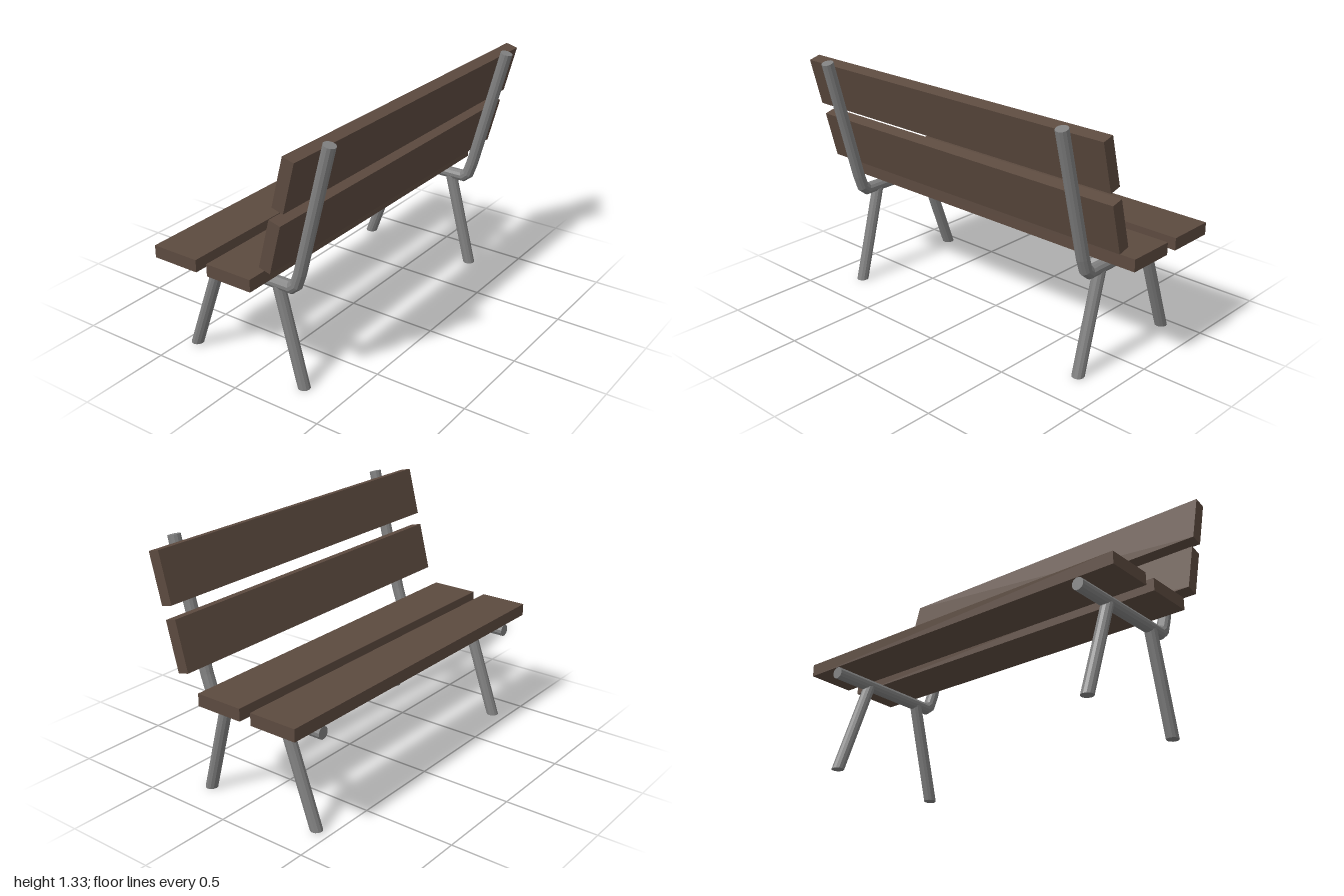
import * as THREE from 'three';

const RADIUS = 0.033, SIDES = 12;

// Round tube along a polyline in the xy plane, mitred at each bend and capped
function bentTube(path) {
  const pts = path.map(([x, y]) => new THREE.Vector2(x, y));
  const last = pts.length - 1;
  const pos = [], index = [];
  pts.forEach((p, i) => {
    const before = p.clone().sub(pts[Math.max(i - 1, 0)]).normalize();
    const after = pts[Math.min(i + 1, last)].clone().sub(p).normalize();
    const dir = before.clone().add(after).normalize();
    const stretch = RADIUS / dir.dot(i < last ? after : before);
    for (let j = 0; j < SIDES; j++) {
      const a = (j + 0.5) / SIDES * Math.PI * 2;
      const n = Math.cos(a) * stretch;
      pos.push(p.x - dir.y * n, p.y + dir.x * n, Math.sin(a) * RADIUS);
    }
  });
  const startCap = pos.length / 3;
  pos.push(pts[0].x, pts[0].y, 0, pts[last].x, pts[last].y, 0);
  for (let j = 0; j < SIDES; j++) {
    const k = (j + 1) % SIDES;
    for (let i = 0; i < last; i++) {
      const a = i * SIDES + j, b = i * SIDES + k;
      index.push(a, b, a + SIDES, b, b + SIDES, a + SIDES);
    }
    index.push(startCap, k, j, startCap + 1, last * SIDES + j, last * SIDES + k);
  }
  const geo = new THREE.BufferGeometry();
  geo.setAttribute('position', new THREE.Float32BufferAttribute(pos, 3));
  geo.setIndex(index);
  const flat = geo.toNonIndexed();
  flat.computeVertexNormals();
  return flat;
}

// Slanted leg with level ends: an upright cylinder sheared sideways
function slantedLeg(x0, y0, x1, y1) {
  const h = y1 - y0;
  const geo = new THREE.CylinderGeometry(RADIUS, RADIUS, h, SIDES).toNonIndexed();
  geo.applyMatrix4(new THREE.Matrix4().makeShear((x1 - x0) / h, 0, 0, 0, 0, 0).transpose());
  const p = geo.attributes.position;
  const lean = (x1 - x0) / h;
  // Rebuild x from the height so the slant is exact
  const base = new THREE.CylinderGeometry(RADIUS, RADIUS, h, SIDES).toNonIndexed().attributes.position;
  for (let i = 0; i < p.count; i++) {
    p.setXYZ(i, base.getX(i) + lean * base.getY(i), base.getY(i), base.getZ(i));
  }
  geo.translate((x0 + x1) / 2, (y0 + y1) / 2, 0);
  geo.computeVertexNormals();
  return geo;
}

export function createModel() {
  const wood = new THREE.MeshStandardMaterial({ color: 0x5c4a3f });
  wood.name = 'brown wood';
  const metal = new THREE.MeshStandardMaterial({ color: 0x808080 });
  metal.name = 'grey metal';

  const model = new THREE.Group();
  model.name = 'bench';
  const add = (parent, name, geo, mat) => {
    const mesh = new THREE.Mesh(geo, mat);
    mesh.name = name;
    parent.add(mesh);
    return mesh;
  };

  // Planks: centre x, centre y, tilt about z
  const tilt = Math.PI / 2 - THREE.MathUtils.degToRad(14.5);
  const planks = [
    ['frontSeatPlank', -0.343, 0.608, 0],
    ['rearSeatPlank', -0.009, 0.608, 0],
    ['lowerBackPlank', 0.249, 0.847, tilt],
    ['upperBackPlank', 0.335, 1.17, tilt],
  ];
  for (const [name, x, y, angle] of planks) {
    const plank = add(model, name, new THREE.BoxGeometry(0.266, 0.066, 2), wood);
    plank.position.set(x, y, 0);
    plank.rotation.z = angle;
  }

  // One metal frame near each end
  for (const [side, z] of [['left', 0.8], ['right', -0.8]]) {
    const frame = new THREE.Group();
    frame.name = side + 'Frame';
    frame.position.z = z;
    add(frame, 'seatAndBackTube',
      bentTube([[-0.475, 0.542], [0.209, 0.541], [0.24, 0.566], [0.264, 0.635], [0.441, 1.317]]), metal);
    add(frame, 'frontLeg', slantedLeg(-0.427, 0.01, -0.24, 0.53), metal);
    add(frame, 'rearLeg', slantedLeg(0.272, 0, 0.13, 0.53), metal);
    model.add(frame);
  }
  return model;
}
